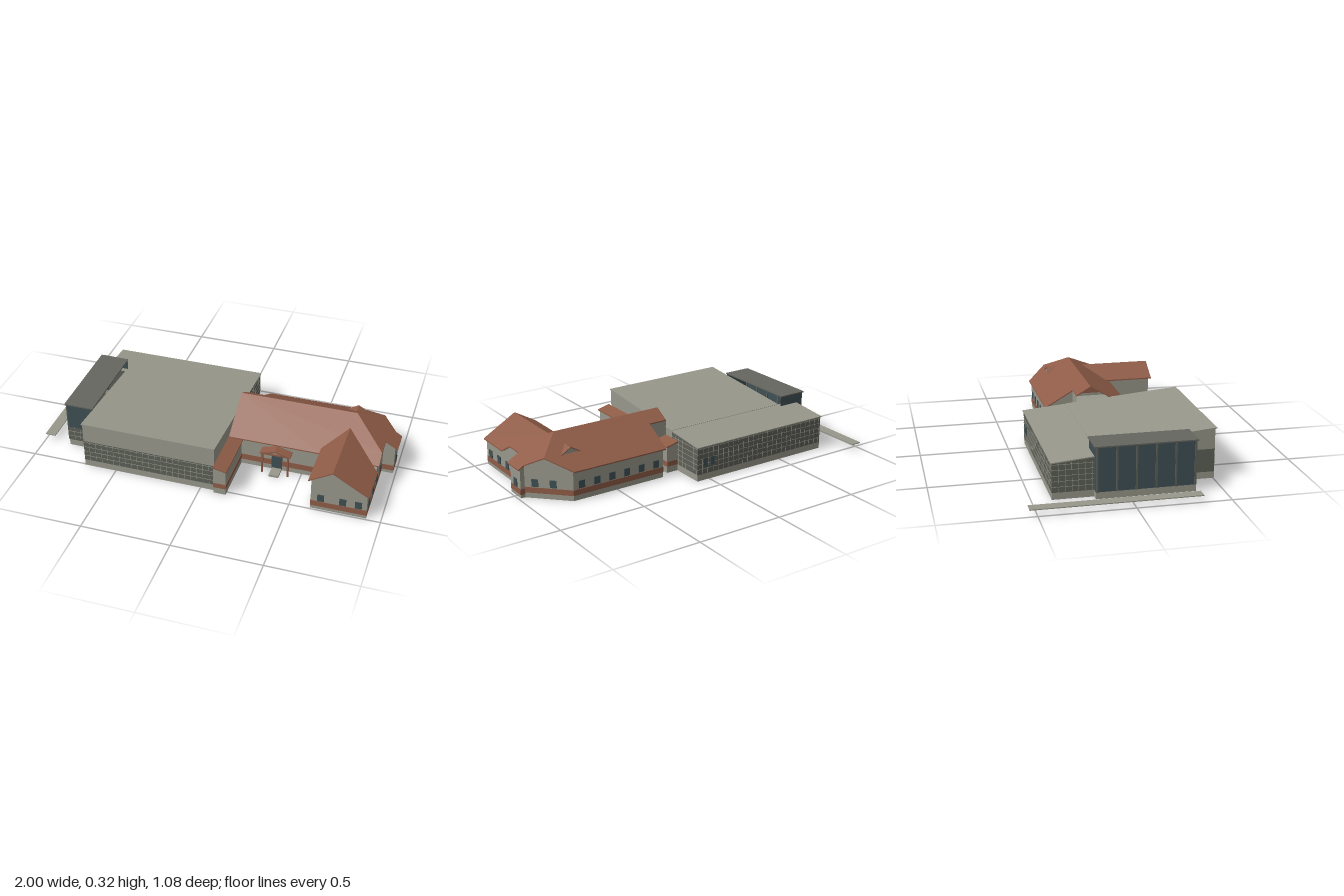
import * as THREE from 'three';

const mat = (name, color, side = THREE.FrontSide) => {
  const m = new THREE.MeshStandardMaterial({ color, side });
  m.name = name;
  return m;
};

export function createModel() {
  const root = new THREE.Group();
  root.name = 'building';
  const grey = mat('pale grey render', 0x97978b, THREE.DoubleSide);
  const rust = mat('rust tile', 0x8f5c47);
  const block = mat('dark blockwork', 0x5d6057, THREE.DoubleSide);
  const slate = mat('slate roof', 0x64665f);
  const glass = mat('dark glass', 0x3f5054, THREE.DoubleSide);

  const add = (name, geo, m, parent = root) => {
    const mesh = new THREE.Mesh(geo, m);
    mesh.name = name;
    parent.add(mesh);
    return mesh;
  };
  const box = (name, x0, x1, y0, y1, z0, z1, m) => {
    const b = add(name, new THREE.BoxGeometry(x1 - x0, y1 - y0, z1 - z0), m);
    b.position.set((x0 + x1) / 2, (y0 + y1) / 2, (z0 + z1) / 2);
    return b;
  };
  // Slab over a plan outline of [x, z] points, its top following height(x, z)
  const slab = (name, pts, height, m, depth = 0.007) => {
    const shape = new THREE.Shape(pts.map(([x, z]) => new THREE.Vector2(x, z)));
    const geo = new THREE.ExtrudeGeometry(shape, { depth, bevelEnabled: false });
    const p = geo.attributes.position;
    for (let i = 0; i < p.count; i++) {
      const x = p.getX(i), z = p.getY(i), d = p.getZ(i);
      p.setXYZ(i, x, height(x, z) - d, z);
    }
    geo.computeVertexNormals();
    return add(name, geo, m);
  };
  // Wall along a plan path, from bottom(x, z) to top(x, z)
  const wall = (name, pts, bottom, top, m) => {
    const v = [];
    for (let i = 0; i + 1 < pts.length; i++) {
      const [ax, az] = pts[i], [bx, bz] = pts[i + 1];
      const a0 = [ax, bottom(ax, az), az], b0 = [bx, bottom(bx, bz), bz];
      const a1 = [ax, top(ax, az), az], b1 = [bx, top(bx, bz), bz];
      v.push(...a0, ...b0, ...b1, ...a0, ...b1, ...a1);
    }
    const geo = new THREE.BufferGeometry();
    geo.setAttribute('position', new THREE.Float32BufferAttribute(v, 3));
    geo.computeVertexNormals();
    return add(name, geo, m);
  };
  // Thin plate on the wall from a to b, spanning distances u0..u1 along it
  const plate = (name, a, b, u0, u1, y0, y1, m, t = 0.006) => {
    const dx = b[0] - a[0], dz = b[1] - a[1], L = Math.hypot(dx, dz);
    const u = (u0 + u1) / 2 / L;
    const p = add(name, new THREE.BoxGeometry(u1 - u0, y1 - y0, t), m);
    p.position.set(a[0] + dx * u, (y0 + y1) / 2, a[1] + dz * u);
    p.rotation.y = Math.atan2(-dz, dx);
  };
  const band = (pts, y0, y1) => {
    for (let i = 0; i + 1 < pts.length; i++) {
      const [a, b] = [pts[i], pts[i + 1]];
      plate('wallBand', a, b, 0, Math.hypot(b[0] - a[0], b[1] - a[1]), y0, y1, rust, 0.004);
    }
  };
  const windows = (a, b, centres, y0, y1, w = 0.037) =>
    centres.forEach(c => plate('window', a, b, c - w / 2, c + w / 2, y0, y1, glass, 0.008));
  const joints = (a, b, y0, y1) => {
    const L = Math.hypot(b[0] - a[0], b[1] - a[1]);
    for (let y = y0 + 0.03; y < y1 - 0.005; y += 0.03)
      plate('jointLine', a, b, 0, L, y - 0.001, y + 0.001, grey, 0.003);
    for (let u = 0.035; u < L; u += 0.035)
      plate('jointLine', a, b, u - 0.001, u + 0.001, y0, y1, grey, 0.003);
  };
  const flat = y => () => y;

  // Roof planes of the tiled building
  const S = 0.58;
  const front = (x, z) => 0.318 - S * z;
  const back = (x, z) => 0.318 + S * z;
  const end = x => 0.318 - S * (x - 0.75);
  const wing = x => 0.27 - S * Math.abs(x - 0.73);
  const eaves = (x, z) => Math.max(
    Math.abs(z) < 0.255 ? Math.min(front(x, z), back(x, z), end(x)) : 0,
    z > 0.2 && x > 0.6 ? wing(x) : 0) - 0.005;

  slab('mainRoofFront', [[0.08, 0], [0.75, 0], [0.93, 0.18], [0.93, 0.25], [0.6, 0.24], [0.08, 0.24]], front, rust);
  slab('mainRoofEnd', [[0.75, 0], [0.885, -0.135], [0.965, -0.06], [1, -0.06], [1, 0.07], [0.93, 0.07], [0.93, 0.18]], end, rust);
  slab('mainRoofBack', [[0.75, 0], [0.08, 0], [0.08, -0.085], [0.19, -0.085], [0.19, -0.25], [0.77, -0.25], [0.885, -0.135]], back, rust);
  slab('wingRoofLeft', [[0.73, 0.083], [0.73, 0.505], [0.6, 0.505], [0.6, 0.213]], wing, rust);
  slab('wingRoofRight', [[0.73, 0.083], [0.93, 0.283], [0.93, 0.505], [0.73, 0.505]], wing, rust);
  for (const s of [-1, 1])
    slab('dormerRoof', [[0.73, -0.083], [0.73 + s * 0.063, -0.146], [0.73, -0.146]], wing, rust, 0.005);
  wall('dormerFace', [[0.79, -0.142], [0.73, -0.142], [0.67, -0.142]], flat(0.225), x => wing(x) - 0.003, grey);

  // Walls of the tiled building, in order round the plan
  const plan = [[0.08, 0.225], [0.59, 0.225], [0.615, 0.225], [0.615, 0.49], [0.73, 0.49], [0.92, 0.49],
    [0.92, 0.26], [0.92, 0.25], [0.92, 0.17], [0.92, 0.065], [0.985, 0.065], [0.985, -0.045], [0.96, -0.045],
    [0.8775, -0.1275], [0.77, -0.235], [0.2, -0.235], [0.2, -0.085], [0.08, -0.085]];
  wall('mainWalls', plan, flat(0), eaves, grey);
  slab('mainFloor', plan, flat(0.002), grey, 0.002);
  band(plan.slice(0, 3), 0.03, 0.065);
  band(plan.slice(2, 13), 0.02, 0.053);
  band(plan.slice(12), 0.03, 0.062);
  windows([0.615, 0.49], [0.92, 0.49], [0.055, 0.175, 0.26], 0.057, 0.1);
  windows([0.92, 0.49], [0.92, 0.065], [0.05, 0.154, 0.255, 0.357], 0.055, 0.1);
  windows([0.985, 0.065], [0.985, -0.045], [0.055], 0.053, 0.1);
  windows([0.96, -0.045], [0.77, -0.235], [0.057, 0.158], 0.067, 0.11);
  windows([0.77, -0.235], [0.2, -0.235], [0.05, 0.144, 0.238, 0.332, 0.426, 0.52], 0.067, 0.11);

  // Entrance porch
  const porch = x => 0.163 - 0.27 * Math.abs(x - 0.357);
  for (const s of [-1, 1]) {
    const e = 0.357 + s * 0.087;
    slab('porchRoof', [[0.357, 0.225], [e, 0.225], [e, 0.282], [0.357, 0.282]], porch, rust, 0.008);
    const c = 0.357 + s * 0.074;
    box('porchPost', c - 0.005, c + 0.005, 0, 0.137, 0.265, 0.275, rust);
  }
  box('porchBeam', 0.28, 0.434, 0.128, 0.138, 0.265, 0.275, rust);
  wall('porchGable', [[0.28, 0.27], [0.357, 0.27], [0.434, 0.27]], flat(0.135), x => porch(x) - 0.004, grey);
  plate('entranceDoor', [0.08, 0.225], [0.615, 0.225], 0.247, 0.307, 0.005, 0.125, glass, 0.009);
  box('entranceStep', 0.33, 0.385, 0, 0.012, 0.225, 0.3, grey);

  // Lean-to link between the two buildings
  box('linkWalls', 0.08, 0.15, 0, 0.155, -0.2, 0.525, grey);
  slab('linkRoof', [[0.08, -0.21], [0.157, -0.21], [0.157, 0.535], [0.08, 0.535]], x => 0.18 - 0.24 * (x - 0.08), rust);
  wall('linkGable', [[0.08, 0.525], [0.15, 0.525]], flat(0.15), x => 0.176 - 0.24 * (x - 0.08), grey);
  wall('linkGable', [[0.15, -0.2], [0.08, -0.2]], flat(0.15), x => 0.176 - 0.24 * (x - 0.08), grey);
  band([[0.08, 0.525], [0.15, 0.525], [0.15, 0.225]], 0.038, 0.067);
  band([[0.15, -0.085], [0.15, -0.2], [0.08, -0.2]], 0.038, 0.067);

  // Large hall: plinth, blockwork, plain upper walls and two shallow roofs
  const hallTop = (x, z) => 0.284 - 0.09 * (0.515 - z);
  const rearTop = (x, z) => 0.2 + 0.09 * (z + 0.4);
  const hall = [[-0.685, -0.145], [-0.685, 0.505], [0.08, 0.505], [0.08, -0.145]];
  const rear = [[0.08, -0.145], [0.08, -0.395], [-0.805, -0.395], [-0.805, -0.145], [-0.685, -0.145]];
  wall('hallPlinth', hall, flat(0), flat(0.037), grey);
  wall('hallBlockwork', hall, flat(0.037), flat(0.165), block);
  wall('hallUpperWalls', hall, flat(0.165), hallTop, grey);
  wall('rearPlinth', rear, flat(0), flat(0.037), grey);
  wall('rearBlockwork', rear, flat(0.037), (x, z) => rearTop(x, z) - 0.003, block);
  joints(hall[1], hall[2], 0.037, 0.165);
  joints(rear[0], rear[1], 0.037, 0.2);
  joints(rear[1], rear[2], 0.037, 0.2);
  joints(rear[2], rear[3], 0.037, 0.2);
  windows(rear[1], rear[2], [0.05, 0.1], 0.08, 0.13, 0.025);
  slab('hallRoof', [[-0.69, -0.148], [0.083, -0.148], [0.083, 0.513], [-0.69, 0.513]], hallTop, grey, 0.006);
  slab('rearRoof', [[-0.81, -0.4], [0.083, -0.4], [0.083, -0.145], [-0.81, -0.145]], rearTop, grey, 0.006);
  slab('hallFloor', [[-0.685, 0.505], [0.08, 0.505], [0.08, -0.395], [-0.805, -0.395], [-0.805, -0.145], [-0.685, -0.145]], flat(0.002), grey, 0.002);

  // Glazed side block with columns
  const side = [[-0.685, -0.175], [-0.845, -0.175], [-0.845, 0.355], [-0.685, 0.355]];
  wall('sidePlinth', side, flat(0), flat(0.037), grey);
  wall('sideGlazing', side.slice(0, 3), flat(0.037), flat(0.278), glass);
  wall('sideBlockwork', side.slice(2), flat(0.037), flat(0.125), block);
  wall('sideFrontGlazing', side.slice(2), flat(0.125), flat(0.278), glass);
  joints(side[2], side[3], 0.037, 0.125);
  for (let i = 0; i <= 5; i++) {
    const u = 0.006 + i * 0.1036;
    plate('sideColumn', side[1], side[2], u - 0.005, u + 0.005, 0.037, 0.278, block, 0.012);
  }
  slab('sideRoof', [[-0.855, -0.183], [-0.685, -0.183], [-0.685, 0.362], [-0.855, 0.362]], flat(0.285), slate);
  slab('sideFloor', side, flat(0.002), grey, 0.002);

  // Detached paving strip
  box('pavingStrip', -1, -0.94, 0.034, 0.039, -0.54, 0.35, grey);
  return root;
}
